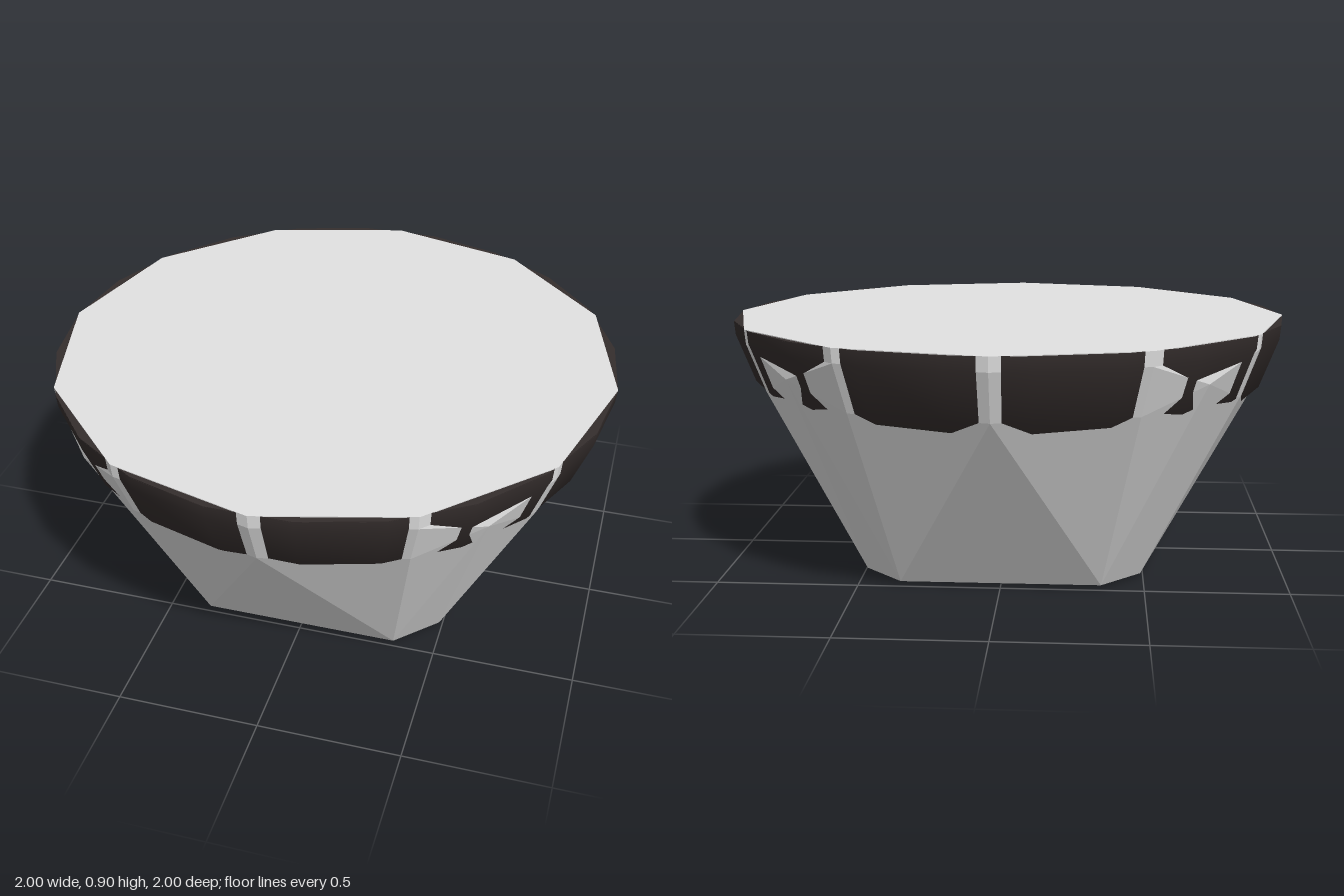
import * as THREE from 'three';

const grey = new THREE.MeshStandardMaterial({ color: 0xe2e2e2, flatShading: true });
grey.name = 'pale grey';
const dark = new THREE.MeshStandardMaterial({ color: 0x352e2d });
dark.name = 'dark brown';

// Point on a circle; the angle runs from the front (+z) towards +x
const ring = (deg, r, y) => {
  const a = THREE.MathUtils.degToRad(deg);
  return new THREE.Vector3(Math.sin(a) * r, y, Math.cos(a) * r);
};

// Faceted bowl: twelve-sided rim narrowing to a square foot with cut corners
function bowlGeometry() {
  const pos = [];
  const up = new THREE.Vector3(0, 1, 0);
  const top = [1, 0.9], brow = [0.995, 0.85], waist = [0.93, 0.68];
  for (let k = 0; k < 4; k++) {
    const tri = (...pts) => pts.forEach((p) => {
      const v = p.clone().applyAxisAngle(up, k * Math.PI / 2);
      pos.push(v.x, v.y, v.z);
    });
    const quad = (a, b, c, d) => { tri(a, b, c); tri(a, c, d); };
    const [T, U, W] = [top, brow, waist].map((p) => [0, 30, 60, 90].map((d) => ring(d, ...p)));
    const foot = (x, z, y) => new THREE.Vector3(x, y, z);
    const L = foot(-0.35, 0.49, 0.015), P = foot(0.35, 0.49, 0.015), Q = foot(0.49, 0.35, 0.015);
    const l = foot(-0.29, 0.4, 0), p = foot(0.29, 0.4, 0), q = foot(0.4, 0.29, 0);
    const M = ring(45, 0.969, 0.765);

    // rim and lid
    for (let i = 0; i < 3; i++) {
      quad(U[i], U[i + 1], T[i + 1], T[i]);
      tri(foot(0, 0, 0.9), T[i], T[i + 1]);
    }
    // band between brow and waist
    quad(W[0], W[1], U[1], U[0]);
    quad(W[2], W[3], U[3], U[2]);
    // bulging corner
    tri(M, U[2], U[1]);
    tri(W[1], M, U[1]);
    tri(M, W[2], U[2]);
    tri(P, M, W[1]);
    tri(P, Q, M);
    tri(Q, W[2], M);
    // large side triangles
    tri(L, P, W[0]);
    tri(P, W[1], W[0]);
    tri(Q, W[3], W[2]);
    // bevelled foot and underside
    quad(l, p, P, L);
    quad(p, q, Q, P);
    tri(foot(0, 0, 0), p, l);
    tri(foot(0, 0, 0), q, p);
  }
  const g = new THREE.BufferGeometry();
  g.setAttribute('position', new THREE.Float32BufferAttribute(pos, 3));
  g.computeVertexNormals();
  return g;
}

export function createModel() {
  const group = new THREE.Group();
  group.name = 'facetedBowl';

  const bowl = new THREE.Mesh(bowlGeometry(), grey);
  bowl.name = 'bowl';

  // Dark band, nearly flush with the bowl so its ridges show through
  const profile = [[0.8, 0.56], [0.93, 0.68], [0.995, 0.85], [1, 0.9]].map((p) => new THREE.Vector2(...p));
  const band = new THREE.Mesh(new THREE.LatheGeometry(profile, 22, Math.PI / 2), dark);
  band.name = 'rimBand';

  const lip = new THREE.Mesh(new THREE.CircleGeometry(1, 22).rotateX(-Math.PI / 2), dark);
  lip.position.y = 0.897;
  lip.name = 'rimLip';

  group.add(bowl, band, lip);
  return group;
}
